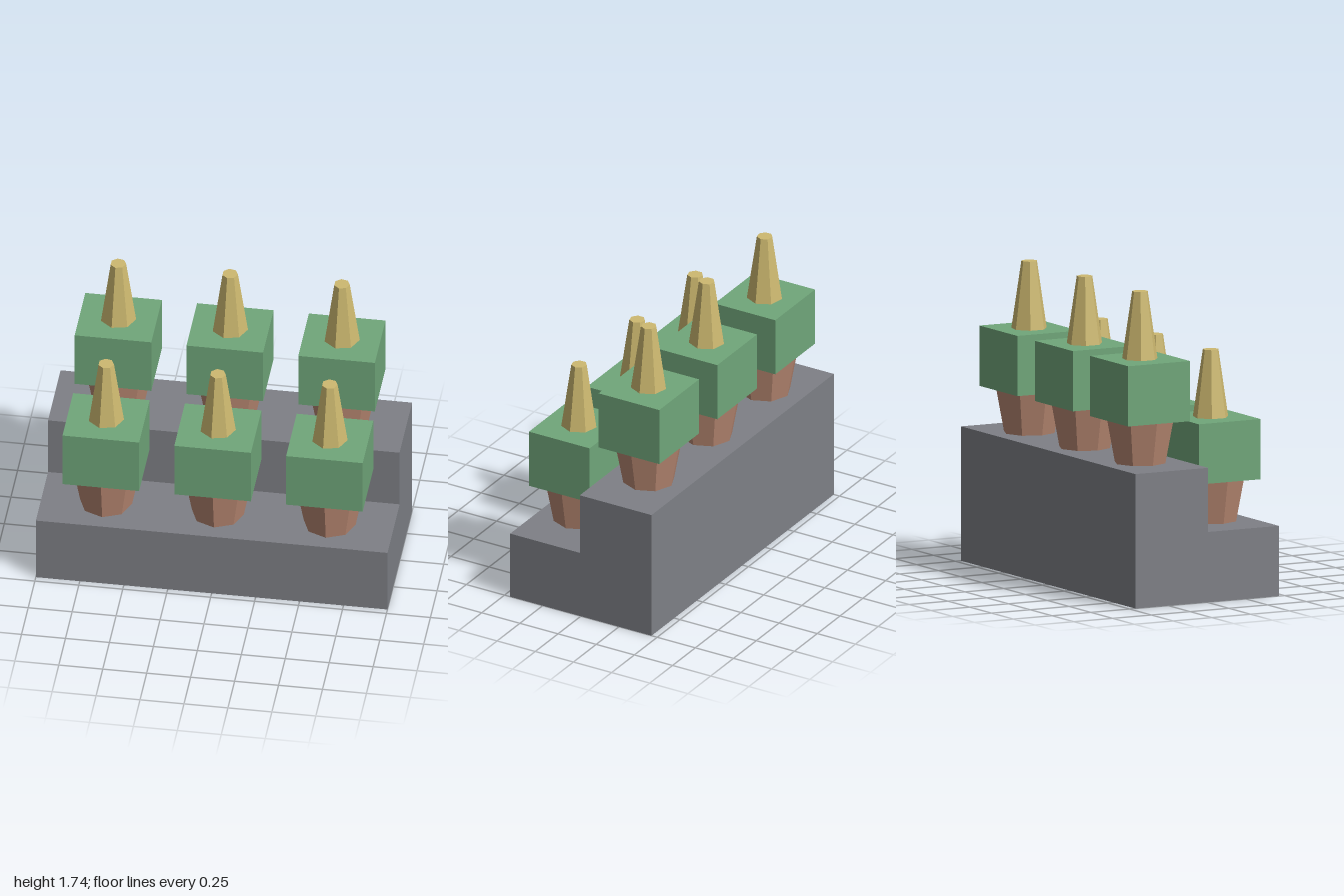
import * as THREE from 'three';

const flat = (name, color) => {
  const m = new THREE.MeshStandardMaterial({ color });
  m.name = name;
  return m;
};

export function createModel() {
  const stone = flat('stone grey', 0x7e8086);
  const clay = flat('clay', 0xb88872);
  const leaf = flat('leaf green', 0x70a67a);
  const straw = flat('straw yellow', 0xcdb970);

  const model = new THREE.Group();
  model.name = 'steppedPlanter';

  const add = (parent, name, geometry, material, y) => {
    const mesh = new THREE.Mesh(geometry, material);
    mesh.name = name;
    mesh.position.y = y;
    parent.add(mesh);
    return mesh;
  };

  // Faceted tapering cylinder, first corner on +x, standing on y = 0
  const taper = (top, bottom, height, sides) => {
    const g = new THREE.CylinderGeometry(top, bottom, height, sides, 1, false, Math.PI / 2)
      .translate(0, height / 2, 0).toNonIndexed();
    g.computeVertexNormals();
    return g;
  };

  // Two-step base: side profile (z, y) extruded along x
  const low = 0.4, high = 0.765, half = 0.463, riser = 0.007;
  const profile = new THREE.Shape([
    [-half, 0], [half, 0], [half, low], [riser, low], [riser, high], [-half, high],
  ].map(([z, y]) => new THREE.Vector2(z, y)));
  const base = new THREE.ExtrudeGeometry(profile, { depth: 2, bevelEnabled: false })
    .translate(0, 0, -1).rotateY(-Math.PI / 2);
  add(model, 'steppedBase', base, stone, 0);

  // Plant pieces, shared by all six plants
  const potHeight = 0.248, blockHeight = 0.343;
  const pot = taper(0.195, 0.148, potHeight, 8);
  const block = new THREE.BoxGeometry(0.436, blockHeight, 0.398).translate(0, blockHeight / 2, 0);
  const spike = taper(0.045, 0.102, 0.384, 7);

  // Three plants on each step
  for (const [row, y, z] of [['front', low, 0.228], ['back', high, -0.228]]) {
    for (const [side, x] of [['Right', -0.636], ['Middle', 0], ['Left', 0.636]]) {
      const plant = new THREE.Group();
      plant.name = `${row}${side}Plant`;
      plant.position.set(x, y, z);
      add(plant, 'pot', pot, clay, 0);
      add(plant, 'foliageBlock', block, leaf, potHeight);
      add(plant, 'spike', spike, straw, potHeight + blockHeight);
      model.add(plant);
    }
  }
  return model;
}
